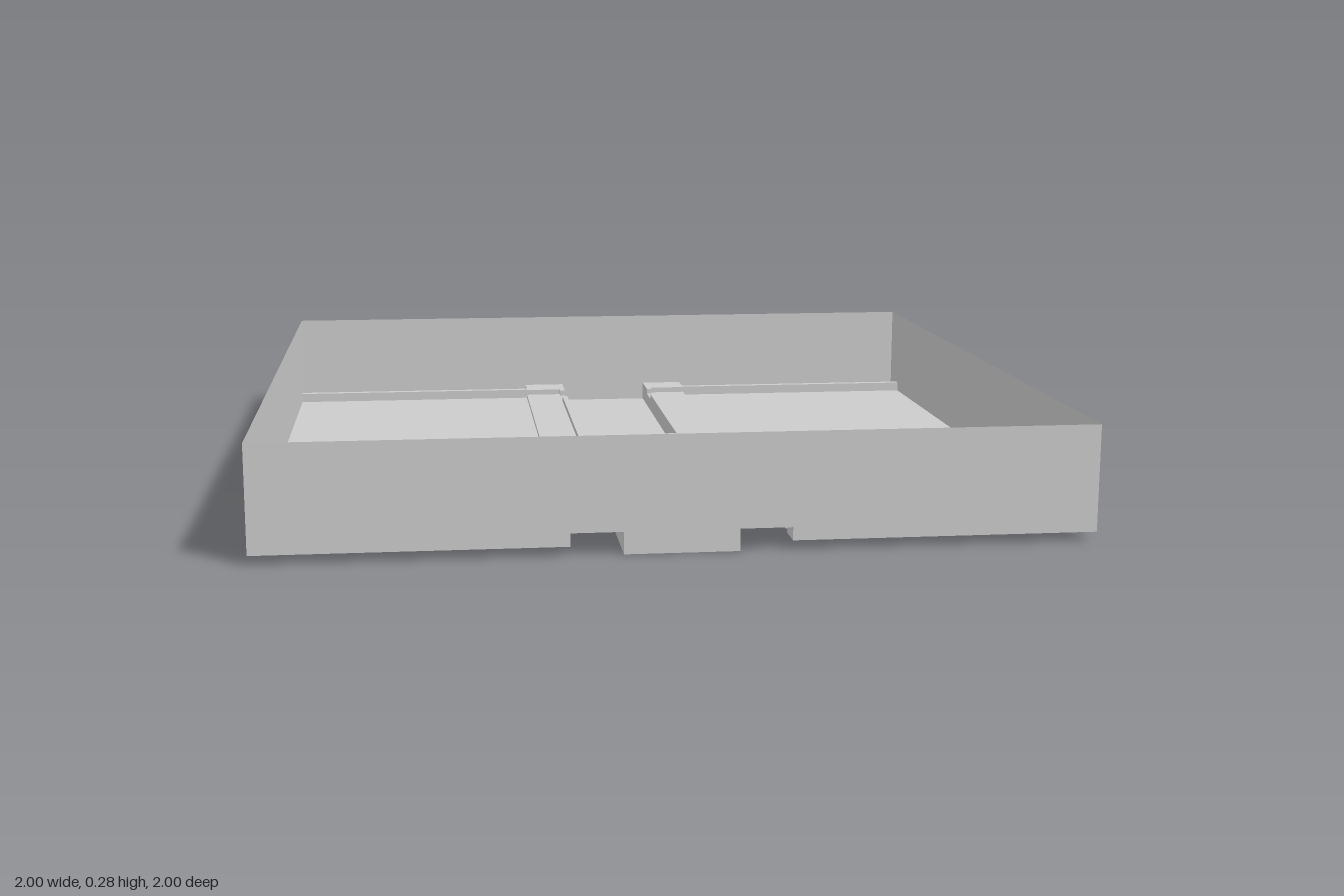
import * as THREE from 'three';

// Heights of the pressed sheet floor and the rim
const H = { channel: 0, edgeStrip: 0.022, sidePanel: 0.027, lane: 0.038, raisedRib: 0.054 };
const RIM = 0.284;

// Floor section lines, mirrored about both axes
const mirror = (a) => [...a.map((v) => -v).reverse(), ...a];
const XS = mirror([0.137, 0.153, 0.262, 1]);
const ZS = mirror([0.024, 0.131, 0.778, 0.875, 0.9, 0.907, 0.928, 1]);

// Which part of the floor lies at a point
function partAt(x, z) {
  x = Math.abs(x);
  z = Math.abs(z);
  if (x > 1 || z > 1) return null;
  if (x < 0.137) return z < 0.131 ? 'raisedRib' : 'channel';
  if (x < 0.153) return z < 0.778 || z > 0.875 ? 'raisedRib' : 'lane';
  if (x < 0.262) return z < 0.024 || z > 0.9 ? 'raisedRib' : 'lane';
  if (z > 0.928) return 'edgeStrip';
  return z > 0.907 ? 'raisedRib' : 'sidePanel';
}

export function createModel() {
  const group = new THREE.Group();
  group.name = 'tray';
  const material = new THREE.MeshStandardMaterial({ color: 0xcccccc, side: THREE.DoubleSide });
  const quads = {};
  const addQuad = (name, a, b, c, d) => {
    (quads[name] ??= []).push(...a, ...b, ...c, ...a, ...c, ...d);
  };

  // Upright face between a cell and its neighbour, or the outer wall
  const addRiser = (y, next, p, q) => {
    const top = next === null ? RIM : H[next];
    if (top === y) return;
    const name = next === null ? 'outerWalls' : 'floorSteps';
    addQuad(name, [p[0], y, p[1]], [q[0], y, q[1]], [q[0], top, q[1]], [p[0], top, p[1]]);
  };

  for (let i = 0; i < XS.length - 1; i++) {
    for (let j = 0; j < ZS.length - 1; j++) {
      const [x0, x1, z0, z1] = [XS[i], XS[i + 1], ZS[j], ZS[j + 1]];
      const [cx, cz] = [(x0 + x1) / 2, (z0 + z1) / 2];
      const part = partAt(cx, cz);
      const y = H[part];
      // Level surface of the cell
      addQuad(part, [x0, y, z0], [x0, y, z1], [x1, y, z1], [x1, y, z0]);
      // Steps towards +x and +z, outer walls at all four borders
      const e = 0.001;
      addRiser(y, partAt(x1 + e, cz), [x1, z0], [x1, z1]);
      addRiser(y, partAt(cx, z1 + e), [x1, z1], [x0, z1]);
      if (i === 0) addRiser(y, null, [x0, z1], [x0, z0]);
      if (j === 0) addRiser(y, null, [x0, z0], [x1, z0]);
    }
  }

  for (const [name, positions] of Object.entries(quads)) {
    const geometry = new THREE.BufferGeometry();
    geometry.setAttribute('position', new THREE.Float32BufferAttribute(positions, 3));
    geometry.computeVertexNormals();
    const mesh = new THREE.Mesh(geometry, material);
    mesh.name = name;
    group.add(mesh);
  }
  return group;
}
